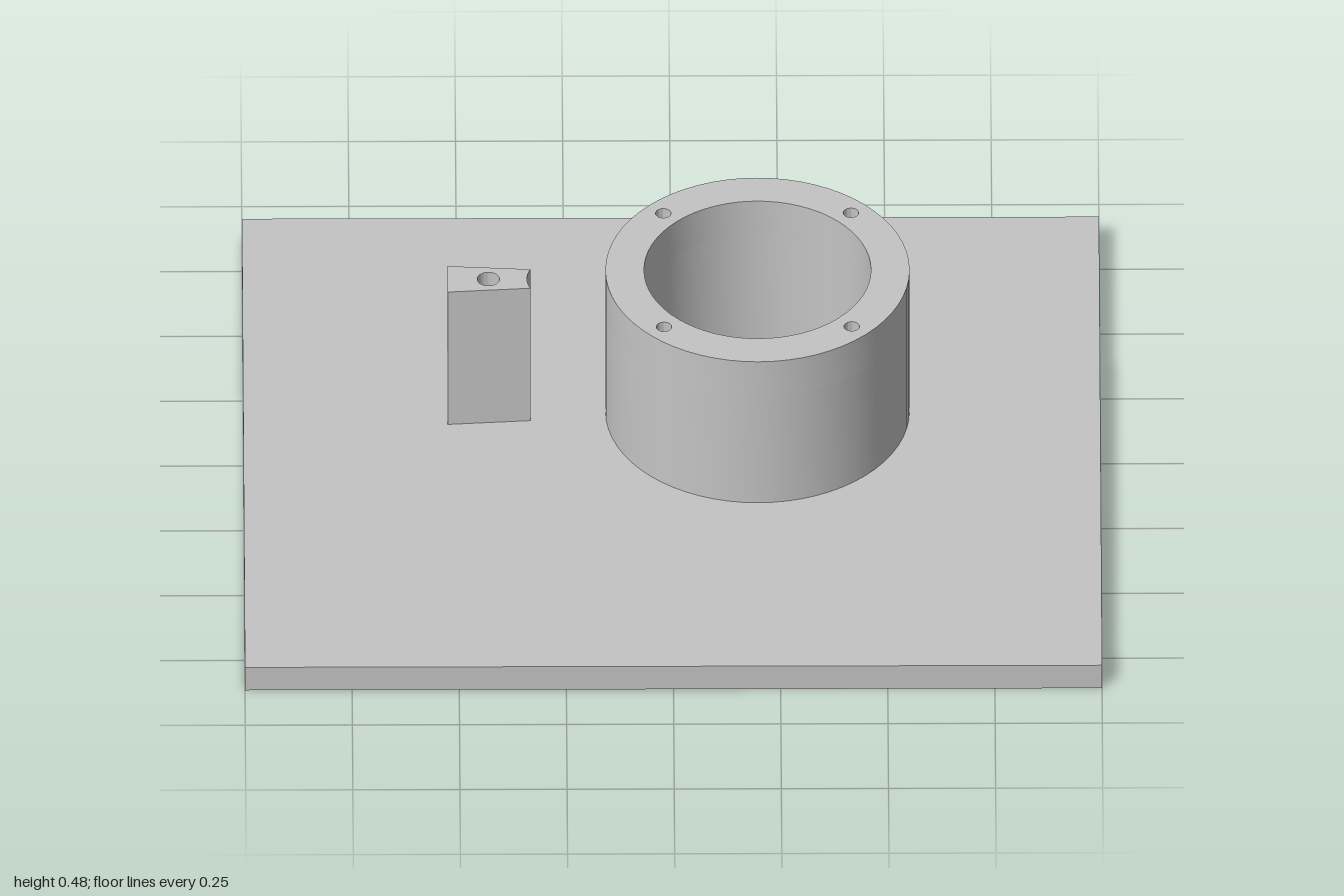
import * as THREE from 'three';
import { toCreasedNormals } from 'three/addons/utils/BufferGeometryUtils.js';

const grey = new THREE.MeshStandardMaterial({ color: 0xc4c4c4 });
grey.name = 'machined grey';

// Outlines are drawn in plan as (x, -z)
function polygon(points) {
  return new THREE.Shape(points.map(([x, z]) => new THREE.Vector2(x, -z)));
}

function disc(x, z, r) {
  const shape = new THREE.Shape();
  shape.absarc(x, -z, r, 0, Math.PI * 2, false);
  return shape;
}

// Upright solid between two heights, pierced by round holes [x, z, r]
function solid(name, shape, y0, y1, holes = []) {
  const plan = shape.clone();
  for (const [x, z, r] of holes) {
    const hole = new THREE.Path();
    hole.absarc(x, -z, r, 0, Math.PI * 2, true);
    plan.holes.push(hole);
  }
  const geometry = new THREE.ExtrudeGeometry(plan, {
    depth: y1 - y0, bevelEnabled: false, curveSegments: 32,
  });
  geometry.rotateX(-Math.PI / 2).translate(0, y0, 0);
  const mesh = new THREE.Mesh(toCreasedNormals(geometry, 0.5), grey);
  mesh.name = name;
  return mesh;
}

function part(name, ...meshes) {
  const group = new THREE.Group();
  group.name = name;
  group.add(...meshes);
  return group;
}

export function createModel() {
  const model = new THREE.Group();
  model.name = 'ringOnBasePlate';
  const cx = 0.2, cz = -0.12, plateTop = 0.067;

  // Base plate: blind fixing holes open only on the underside
  const fixings = [];
  for (const z of [-0.75, 0.62]) {
    for (const x of [0.615, 0.373, 0.015, -0.228]) fixings.push([x, z]);
  }
  for (const z of [-0.48, -0.115, 0.25]) fixings.push([0.957, z]);
  for (const x of [-0.302, -0.605, -0.908]) fixings.push([x, 0.792]);
  fixings.push([0.738, -0.112], [0.518, -0.112], [-0.179, -0.468], [-0.179, 0.253]);
  const plate = polygon([[-1, 0.865], [1, 0.865], [1, -0.865], [-1, -0.865]]);
  const bore = [cx, cz, 0.252];
  model.add(part('basePlate',
    solid('plateUnderside', plate, 0, 0.045, [bore, ...fixings.map(([x, z]) => [x, z, 0.016])]),
    solid('plateTop', plate, 0.045, plateTop, [bore])));

  // Hollow ring with four blind screw holes in its rim
  const ring = disc(cx, cz, 0.355);
  const ringBore = [cx, cz, 0.265];
  const screws = [];
  for (const sx of [-1, 1]) {
    for (const sz of [-1, 1]) screws.push([cx + sx * 0.219, cz + sz * 0.219, 0.018]);
  }
  model.add(part('ring',
    solid('ringBody', ring, plateTop, 0.38, [ringBore]),
    solid('ringRim', ring, 0.38, 0.48, [ringBore, ...screws])));

  // Tapered post with a hollowed end facing the ring
  const post = polygon([[-0.523, -0.07], [-0.33, -0.084]]);
  post.quadraticCurveTo(-0.346, 0.12, -0.33, 0.157);
  post.lineTo(-0.523, 0.17);
  post.closePath();
  model.add(part('post',
    solid('postBody', post, plateTop, 0.35),
    solid('postHead', post, 0.35, 0.455, [[-0.428, cz, 0.026]])));

  return model;
}
